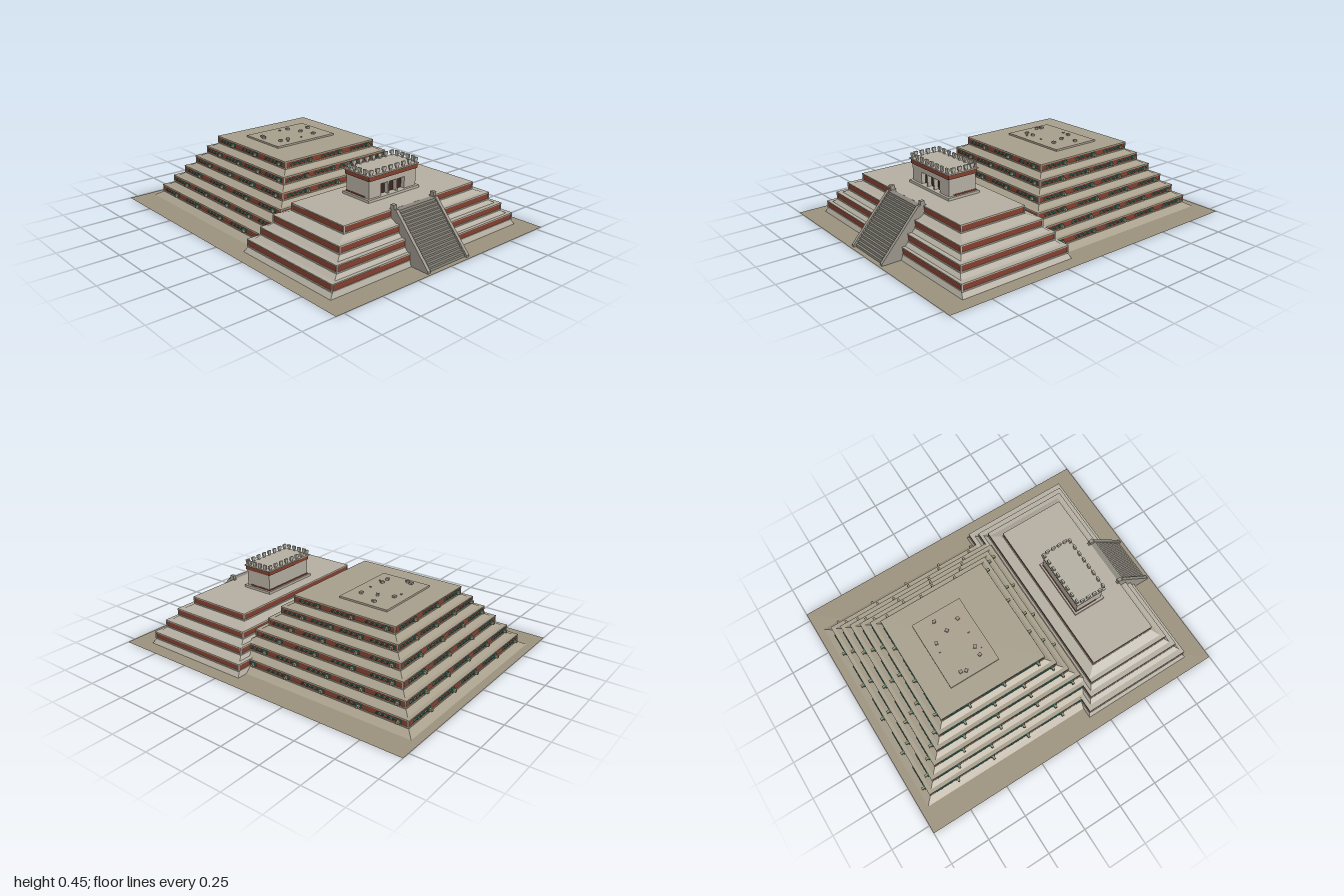
import * as THREE from 'three';

const mat = (color) => new THREE.MeshStandardMaterial({ color, side: THREE.DoubleSide });
const M = {
  ground: mat(0x9b917d), earth: mat(0xa89f8c), stone: mat(0xb5afa2), red: mat(0x84402f),
  green: mat(0x35806e), dark: mat(0x3d2620), step: mat(0x8b877d), rail: mat(0x9a958a), head: mat(0x9a8c72),
};

function add(parent, name, geo, material, x = 0, y = 0, z = 0) {
  const m = new THREE.Mesh(geo, material);
  m.name = name;
  m.position.set(x, y, z);
  parent.add(m);
  return m;
}

// Box given by its extents
function block(parent, name, material, x0, x1, y0, y1, z0, z1) {
  return add(parent, name, new THREE.BoxGeometry(x1 - x0, y1 - y0, z1 - z0), material,
    (x0 + x1) / 2, (y0 + y1) / 2, (z0 + z1) / 2);
}

// Rectangular frustum: a box whose upper and lower corners follow two rectangles [halfX, zBack, zFront]
function frustum(lower, upper, y0, y1) {
  const g = new THREE.BoxGeometry(1, 1, 1);
  const p = g.attributes.position;
  for (let i = 0; i < p.count; i++) {
    const top = p.getY(i) > 0, [hx, zb, zf] = top ? upper : lower;
    p.setXYZ(i, Math.sign(p.getX(i)) * hx, top ? y1 : y0, p.getZ(i) > 0 ? zf : zb);
  }
  g.computeVertexNormals();
  return g;
}

// One terrace: sloping wall below a framed red band
function terrace(parent, material, base, band, y0, y1) {
  const g = new THREE.Group();
  g.name = 'terrace';
  const [hx, zb, zf] = band, yb = y1 - 0.046, e = 0.008, d = 0.004;
  add(g, 'slopingWall', frustum(base, [hx - d, zb + d, zf - d], y0, yb), material);
  block(g, 'lowerMoulding', material, -hx, hx, yb, yb + 0.007, zb, zf);
  block(g, 'redBand', M.red, -hx + d, hx - d, yb + 0.007, y1 - 0.007, zb + d, zf - d);
  block(g, 'upperMoulding', material, -hx, hx, y1 - 0.007, y1, zb, zf);
  for (const x of [-hx, hx - e]) for (const z of [zb, zf - e])
    block(g, 'cornerPost', material, x, x + e, yb, y1, z, z + e);
  parent.add(g);
}

const PITCH = 0.0668, topOf = (k) => 0.073 + k * PITCH;

function rearPyramid() {
  const g = new THREE.Group();
  g.name = 'rearPyramid';
  const cz = -0.3;
  // Serpent body: a wavy tube lying along the band
  const pts = [];
  for (let i = 0; i <= 8; i++) pts.push(new THREE.Vector3(-0.075 + i * 0.0165, i % 2 ? 0.006 : -0.005, 0));
  const body = new THREE.TubeGeometry(new THREE.CatmullRomCurve3(pts), 20, 0.0045, 5);
  const head = new THREE.BoxGeometry(0.014, 0.016, 0.026);
  const crest = new THREE.BoxGeometry(0.026, 0.022, 0.007);

  for (let k = 0; k < 6; k++) {
    const h = 0.61 - k * 0.053, b = h + (k ? 0.03 : 0.042), y1 = topOf(k);
    terrace(g, M.earth, [b, cz - b, cz + b], [h, cz - h, cz + h], k ? topOf(k - 1) : 0, y1);
    const n = k < 2 ? 5 : k < 5 ? 4 : 3, gap = (2 * h) / n;
    for (let side = 0; side < 4; side++) {
      if (side === 0 && k < 3) continue; // covered by the front platform
      const row = new THREE.Group();
      row.name = 'serpentRow';
      row.position.set(0, y1 - 0.023, cz);
      row.rotation.y = side * Math.PI / 2;
      for (let i = 0; i < n; i++) {
        const x = -h + gap * (i + 0.5);
        add(row, 'serpentBody', body, M.green, x, 0, h);
        add(row, 'serpentCrest', crest, M.green, x + 0.065, 0, h + 0.002);
        add(row, 'serpentHead', head, M.head, x + 0.065, 0, h + 0.01);
      }
      g.add(row);
    }
  }

  // Ruined floor with scattered stones on the summit
  const y = topOf(5);
  block(g, 'summitFloor', M.earth, -0.22, 0.22, y, y + 0.011, -0.505, -0.185);
  const stones = [[-0.17, -0.41, 2], [-0.18, -0.38, 2], [0.05, -0.44, 2], [0.085, -0.35, 2], [0.17, -0.385, 2],
    [-0.14, -0.265, 2], [-0.085, -0.265, 2], [0.115, -0.26, 2], [0.01, -0.25, 1], [-0.005, -0.45, 1], [-0.105, -0.235, 1]];
  stones.forEach(([x, z, s], i) => {
    const a = 0.009 * s;
    add(g, 'looseStone', new THREE.BoxGeometry(a, a * 0.7, a * 1.1), M.rail, x, y + 0.011 + a * 0.3, z).rotation.y = i * 0.7;
  });
  return g;
}

function frontPlatform() {
  const g = new THREE.Group();
  g.name = 'frontPlatform';
  const base = [[0.718, 0.148, 0.868], [0.667, 0.182, 0.84], [0.61, 0.215, 0.795], [0.555, 0.232, 0.748]];
  const band = [[0.7, 0.155, 0.86], [0.64, 0.195, 0.822], [0.58, 0.232, 0.775], [0.5, 0.293, 0.715]];
  base.forEach((b, k) => terrace(g, M.stone, b, band[k], k ? topOf(k - 1) + 0.001 : 0, topOf(k) + 0.001));
  return g;
}

function stairway() {
  const g = new THREE.Group();
  g.name = 'stairway';
  const n = 18, H = 0.274;
  for (let i = 0; i < n; i++)
    block(g, 'stairStep', M.step, -0.142, 0.142, (i * H) / n, ((i + 1) * H) / n, 0.71, 0.972 - (i * 0.235) / n);
  // Sloping side rails, profile drawn in (z, y) and extruded across x
  const s = new THREE.Shape([[0.7, 0], [0.985, 0], [0.985, 0.012], [0.745, 0.279], [0.7, 0.279]]
    .map(([z, y]) => new THREE.Vector2(-z, y)));
  const rail = new THREE.ExtrudeGeometry(s, { depth: 0.02, bevelEnabled: false });
  rail.rotateY(Math.PI / 2);
  for (const x of [-0.162, 0.142]) {
    add(g, 'sideRail', rail, M.rail, x);
    block(g, 'railPost', M.rail, x - 0.001, x + 0.021, 0.279, 0.302, 0.707, 0.733);
  }
  return g;
}

function temple() {
  const g = new THREE.Group();
  g.name = 'temple';
  const y0 = topOf(3), yf = y0 + 0.016, zb = 0.382, zf = 0.56, zr = 0.53, hx = 0.18;
  block(g, 'plinth', M.stone, -0.196, 0.196, y0, yf, 0.368, 0.575);
  block(g, 'chamber', M.stone, -hx, hx, yf, 0.415, zb, zr);
  block(g, 'doorBack', M.dark, -0.1, 0.1, yf, 0.362, zr, zr + 0.004);
  block(g, 'lintel', M.stone, -hx, hx, 0.358, 0.415, zr, zf);
  for (const [a, b] of [[-hx, -0.09], [-0.037, -0.028], [0.028, 0.037], [0.09, hx]])
    block(g, 'doorPier', M.stone, a, b, yf, 0.358, zr, zf);
  block(g, 'baseBand', M.red, -hx - 0.003, hx + 0.003, yf, yf + 0.008, zb - 0.003, zr);
  block(g, 'redFrieze', M.red, -hx - 0.006, hx + 0.006, 0.39, 0.415, zb - 0.006, zf + 0.006);
  block(g, 'roofSlab', M.stone, -0.193, 0.193, 0.415, 0.423, 0.37, 0.571);

  // Battlements around the roof: narrow stem with a wider cap
  const merlon = (x, z, along) => {
    const m = new THREE.Group();
    m.name = 'merlon';
    m.position.set(x, 0.423, z);
    m.rotation.y = along ? Math.PI / 2 : 0;
    add(m, 'merlonStem', new THREE.BoxGeometry(0.014, 0.012, 0.01), M.stone, 0, 0.006, 0);
    add(m, 'merlonCap', new THREE.BoxGeometry(0.025, 0.018, 0.011), M.stone, 0, 0.021, 0);
    g.add(m);
  };
  for (let i = 0; i < 8; i++) for (const z of [0.378, 0.563]) merlon(-0.172 + i * 0.0491, z, false);
  for (let i = 0; i < 4; i++) for (const x of [-0.185, 0.185]) merlon(x, 0.408 + i * 0.0417, true);
  return g;
}

export function createModel() {
  const model = new THREE.Group();
  model.name = 'steppedPyramid';
  add(model, 'ground', new THREE.PlaneGeometry(1.6, 2).rotateX(-Math.PI / 2), M.ground);
  const parts = [rearPyramid(), frontPlatform(), stairway(), temple()];
  // Keep the undersides just clear of the ground sheet
  for (const p of parts) {
    p.position.y = 0.001;
    model.add(p);
  }
  return model;
}
